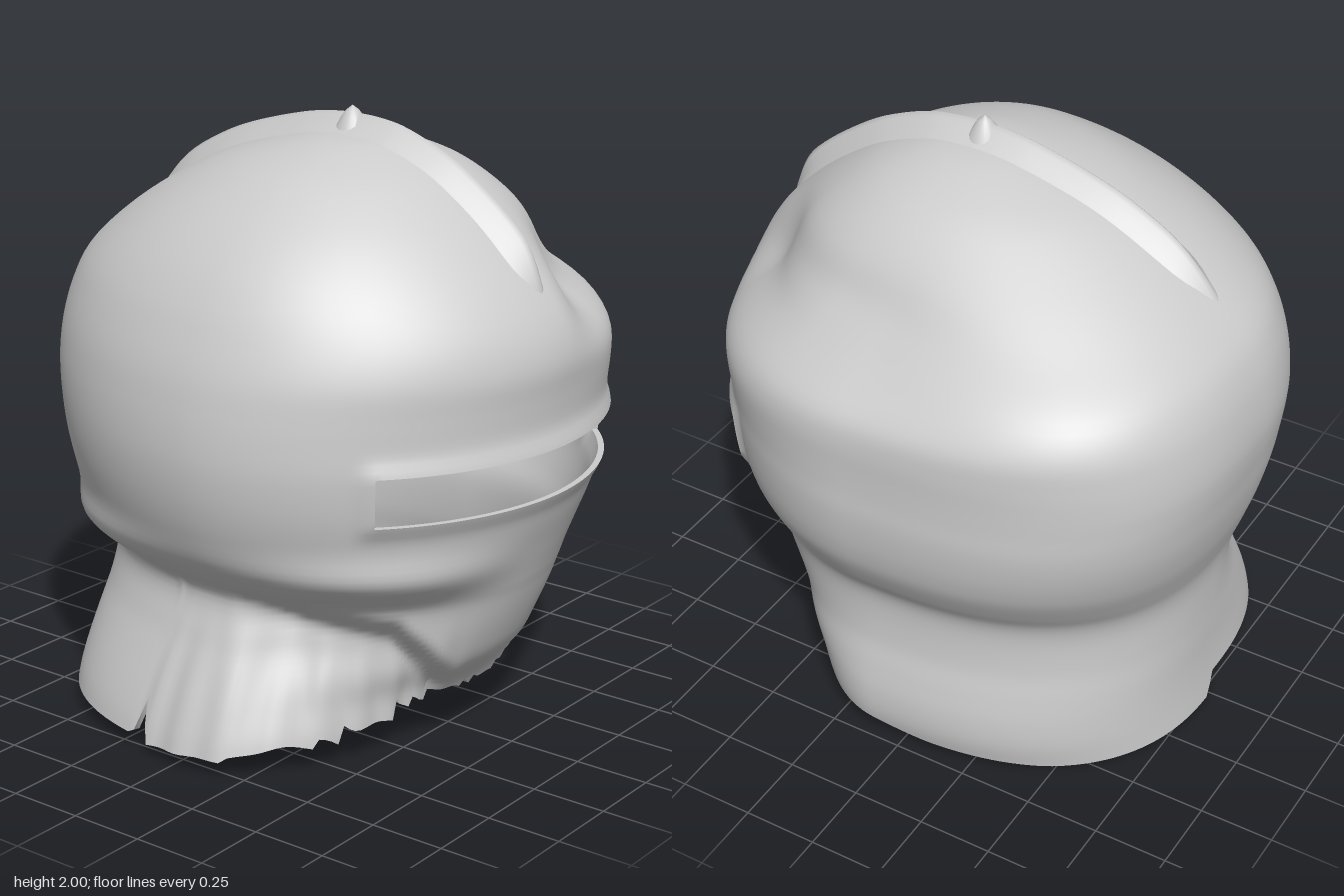
import * as THREE from 'three';
import { toCreasedNormals } from 'three/addons/utils/BufferGeometryUtils.js';

const RAD = Math.PI / 180, CZ = 0.1, WALL = 0.02, SUB = 4;
const smooth = (a, b, v) => THREE.MathUtils.smoothstep(v, a, b);
const bell = (v, w) => Math.exp(-(v * v) / (w * w));

// Shell cross-sections from crown to hem: height, -x reach, +x reach, front z, back z
const SECTIONS = [
  [1.92, 0, 0, 0.1, 0.1], [1.915, 0.08, 0.08, 0.19, 0.02], [1.9, 0.17, 0.16, 0.28, -0.08],
  [1.85, 0.33, 0.3, 0.41, -0.27], [1.8, 0.43, 0.39, 0.5, -0.4], [1.7, 0.57, 0.53, 0.635, -0.58],
  [1.6, 0.67, 0.655, 0.74, -0.72], [1.5, 0.74, 0.79, 0.825, -0.825], [1.4, 0.79, 0.85, 0.885, -0.875],
  [1.3, 0.828, 0.857, 0.912, -0.9], [1.2, 0.85, 0.856, 0.906, -0.91], [1.12, 0.861, 0.857, 0.902, -0.905],
  [1.04, 0.865, 0.86, 0.905, -0.893], [0.96, 0.86, 0.855, 0.9, -0.88], [0.88, 0.847, 0.843, 0.89, -0.862],
  [0.8, 0.825, 0.82, 0.87, -0.84], [0.7, 0.785, 0.768, 0.835, -0.805], [0.62, 0.715, 0.72, 0.808, -0.778],
  [0.54, 0.635, 0.705, 0.78, -0.765], [0.4, 0.67, 0.71, 0.73, -0.76], [0.3, 0.71, 0.73, 0.68, -0.76],
  [0.2, 0.75, 0.745, 0.59, -0.76], [0.1, 0.785, 0.742, 0.54, -0.765], [0, 0.81, 0.715, 0.5, -0.775],
];
const LAST = SECTIONS.length - 1, NECK = 17, SLOT_TOP = 12, SLOT_BOTTOM = 14;

// Distance down the shell at each section, used to space the smooth interpolation
const KNOTS = [0];
for (let i = 1; i <= LAST; i++) {
  const [p, q] = [SECTIONS[i - 1], SECTIONS[i]];
  KNOTS.push(KNOTS[i - 1] + Math.hypot(q[0] - p[0], q[1] - p[1]));
}

// Smooth value of one column at fractional section f
function column(f, k) {
  const i = Math.min(Math.floor(f), LAST - 1), t = f - i, span = KNOTS[i + 1] - KNOTS[i];
  const slope = (n) => {
    const lo = Math.max(n - 1, 0), hi = Math.min(n + 1, LAST);
    return (SECTIONS[hi][k] - SECTIONS[lo][k]) / (KNOTS[hi] - KNOTS[lo]) * span;
  };
  const t2 = t * t, t3 = t2 * t;
  return (2 * t3 - 3 * t2 + 1) * SECTIONS[i][k] + (t3 - 2 * t2 + t) * slope(i)
    + (3 * t2 - 2 * t3) * SECTIONS[i + 1][k] + (t3 - t2) * slope(i + 1);
}

function sectionAt(y) {
  let i = 0;
  while (i < LAST - 1 && SECTIONS[i + 1][0] > y) i++;
  return i + (SECTIONS[i][0] - y) / (SECTIONS[i][0] - SECTIONS[i + 1][0]);
}

// Hem height by angle (0 = +x, 90 = front); the collar starts at 198 and steps at the back
const HEM = [[0, 0.07], [30, 0.12], [50, 0.2], [65, 0.15], [90, 0.16], [110, 0.17], [130, 0.14],
  [150, 0.1], [172, 0.06], [195, 0.04], [198, 0.17], [200, 0.05], [269, 0.08], [270.5, 0], [315, 0.01], [345, 0.04], [360, 0.07]];
function hemY(deg) {
  let i = 0;
  while (i < HEM.length - 2 && HEM[i + 1][0] < deg) i++;
  return THREE.MathUtils.mapLinear(deg, HEM[i][0], HEM[i + 1][0], HEM[i][1], HEM[i + 1][1]);
}

// Torn teeth along the front and skirt hem
function tornEdge(deg) {
  const range = smooth(38, 46, deg) * (1 - smooth(168, 176, deg));
  const tooth = (deg / 12 + 0.4 * Math.sin(deg * 0.21) + 1) % 1;
  const depth = 0.025 + (deg > 115 ? 0.05 : 0.015) * (0.6 + 0.4 * Math.sin(deg * 0.4));
  return range * depth * (tooth - 0.4);
}

// Slot ends
const SLOT_R = Math.atan2(0.545, 0.615), SLOT_L = Math.atan2(0.55, -0.615);

// Radius of the shell in a direction at a height
function radius(theta, y, f) {
  const deg = ((theta / RAD) % 360 + 360) % 360;
  const c = Math.cos(theta), s = Math.sin(theta);
  const a = Math.max(column(f, c < 0 ? 1 : 2), 0);
  const b = Math.max(Math.abs(column(f, s > 0 ? 3 : 4) - CZ), 0);
  if (a < 1e-4 || b < 1e-4) return 0;
  let n;
  if (c < 0) n = s > 0 ? 1.92 : 2 + 0.7 * (1 - smooth(0.08, 0.5, y));
  else if (s > 0) n = 2 + 0.12 * smooth(1, 1.25, y);
  else n = 2 + 0.85 * (1 - smooth(1.4, 1.85, y)) * (0.45 + 0.55 * smooth(0.5, 1.1, y));
  let r = Math.pow(Math.pow(Math.abs(c) / a, n) + Math.pow(Math.abs(s) / b, n), -1 / n);
  const signed = deg > 180 ? deg - 360 : deg;
  // hollow above the brow shelf on the +x side, a little lower toward the front
  const drop = y - THREE.MathUtils.lerp(1.53, 1.46, smooth(0, 75, signed));
  r -= 0.13 * bell(drop, drop > 0 ? 0.17 : 0.12) * smooth(-50, 20, signed) * (1 - smooth(60, 87, signed));
  // full cheeks above the neck on the -x side, and a tuck beside the chin on the +x side
  if (c < 0) r += 0.045 * bell(y - 0.67, 0.08) * Math.sin(2 * theta) ** 2;
  r -= 0.035 * bell(y - 0.34, 0.13) * bell(signed - 48, 20);
  // raised lips around the eye slot
  const side = smooth(SLOT_R - 0.09, SLOT_R, theta) * (1 - smooth(SLOT_L, SLOT_L + 0.09, theta));
  r += 0.016 * side * bell(Math.max(Math.abs(y - 0.96) - 0.08, 0), 0.035);
  // face plate edge sweeping down to the chin, with a pleated skirt flaring out below it
  const window = smooth(98, 118, deg) * (1 - smooth(160, 180, deg));
  const edge = Math.min(THREE.MathUtils.mapLinear(deg, 100, 130, 0.17, 0.5),
    THREE.MathUtils.mapLinear(deg, 130, 180, 0.5, 0.6));
  r -= 0.1 * window * smooth(-0.02, 0.1, edge - y) * smooth(0.02, 0.4, y);
  const skirt = smooth(100, 120, deg) * (1 - smooth(194, 198, deg)) * (1 - smooth(0.2, 0.52, y));
  return r + skirt * (0.01 + 0.007 * Math.sin(deg * 0.55));
}

function shellPoint(theta, f, inner) {
  const deg = ((theta / RAD) % 360 + 360) % 360;
  let y = column(f, 0);
  if (f > NECK) {
    const t = (f - NECK) / (LAST - NECK);
    y = THREE.MathUtils.lerp(SECTIONS[NECK][0], hemY(deg), t) + tornEdge(deg) * t ** 6;
    f = sectionAt(y);
  }
  let r = radius(theta, y, f);
  if (inner) {
    r = Math.max(r - WALL * Math.min(1, r * 3), 0);
    y -= WALL * smooth(1.4, 1.8, y);
  }
  return [r * Math.cos(theta), y, CZ + r * Math.sin(theta)];
}

// Walled shell with the eye slot left open
function shellGeometry() {
  const nSlot = 66, nRest = 154, cols = nSlot + nRest, rows = LAST * SUB;
  const thetas = [];
  for (let j = 0; j < nSlot; j++) thetas.push(SLOT_R + (SLOT_L - SLOT_R) * j / nSlot);
  for (let j = 0; j < nRest; j++) thetas.push(SLOT_L + (SLOT_R + 2 * Math.PI - SLOT_L) * j / nRest);
  const pos = [], index = [], layer = (rows + 1) * cols;
  for (const inner of [false, true])
    for (let i = 0; i <= rows; i++)
      for (const t of thetas) pos.push(...shellPoint(t, i / SUB, inner));
  const id = (i, j) => i * cols + (j + cols) % cols;
  const open = (i, j) => i >= rows ||
    (i >= SLOT_TOP * SUB && i < SLOT_BOTTOM * SUB && (j + cols) % cols < nSlot);
  const quad = (a, b, c, d) => index.push(a, b, c, a, c, d);
  const wall = (p, q) => quad(q, p, p + layer, q + layer);
  for (let i = 0; i < rows; i++) {
    for (let j = 0; j < cols; j++) {
      if (open(i, j)) continue;
      const a = id(i, j), b = id(i, j + 1), c = id(i + 1, j + 1), d = id(i + 1, j);
      quad(a, b, c, d);
      quad(d + layer, c + layer, b + layer, a + layer);
      if (i > 0 && open(i - 1, j)) wall(a, b);
      if (open(i, j + 1)) wall(b, c);
      if (open(i + 1, j)) wall(c, d);
      if (open(i, j - 1)) wall(d, a);
    }
  }
  const g = new THREE.BufferGeometry();
  g.setAttribute('position', new THREE.Float32BufferAttribute(pos, 3));
  g.setIndex(index);
  return toCreasedNormals(g, 0.9);
}

// Raised crest swept over the crown from brow to back
function crestGeometry() {
  const path = [], FRONT = 7.9, BACK = 7, N = 36;
  for (let i = N; i > 0; i--) path.push(shellPoint(Math.PI / 2, FRONT * i / N));
  for (let i = 0; i <= N; i++) path.push(shellPoint(-Math.PI / 2, BACK * i / N));
  const profile = [[-0.09, -0.03], [-0.06, 0.004], [-0.034, 0.022], [-0.014, 0.048], [0, 0.058],
    [0.014, 0.048], [0.034, 0.022], [0.06, 0.004], [0.09, -0.03]];
  const pos = [], index = [], w = profile.length;
  path.forEach(([, y, z], i) => {
    const p = path[Math.max(i - 1, 0)], q = path[Math.min(i + 1, path.length - 1)];
    const dy = q[1] - p[1], dz = q[2] - p[2], len = Math.hypot(dy, dz);
    const t = i / (path.length - 1), taper = smooth(0, 0.15, t) * (1 - smooth(0.82, 1, t));
    for (const [x, h] of profile) {
      const lift = -0.03 + (h + 0.03) * taper;
      pos.push(x, y - dz / len * lift, z + dy / len * lift);
    }
    if (i === 0) return;
    for (let k = 0; k < w - 1; k++) {
      const a = (i - 1) * w + k, b = a + 1, c = b + w, d = a + w;
      index.push(a, b, c, a, c, d);
    }
  });
  const g = new THREE.BufferGeometry();
  g.setAttribute('position', new THREE.Float32BufferAttribute(pos, 3));
  g.setIndex(index);
  g.computeVertexNormals();
  return g;
}

export function createModel() {
  const steel = new THREE.MeshStandardMaterial({ color: 0xcccccc, side: THREE.DoubleSide });
  steel.name = 'steel';
  const model = new THREE.Group();
  model.name = 'helmet';
  const add = (name, geometry) => {
    const mesh = new THREE.Mesh(geometry, steel);
    mesh.name = name;
    model.add(mesh);
    return mesh;
  };
  add('helmetShell', shellGeometry());
  add('crestRidge', crestGeometry());
  // small stud at the top of the crest
  const stud = [[0.065, 1.91], [0.05, 1.94], [0.035, 1.965], [0.02, 1.985], [0, 2]];
  add('crownStud', new THREE.LatheGeometry(stud.map(([x, y]) => new THREE.Vector2(x, y)), 24))
    .position.z = CZ;
  return model;
}
